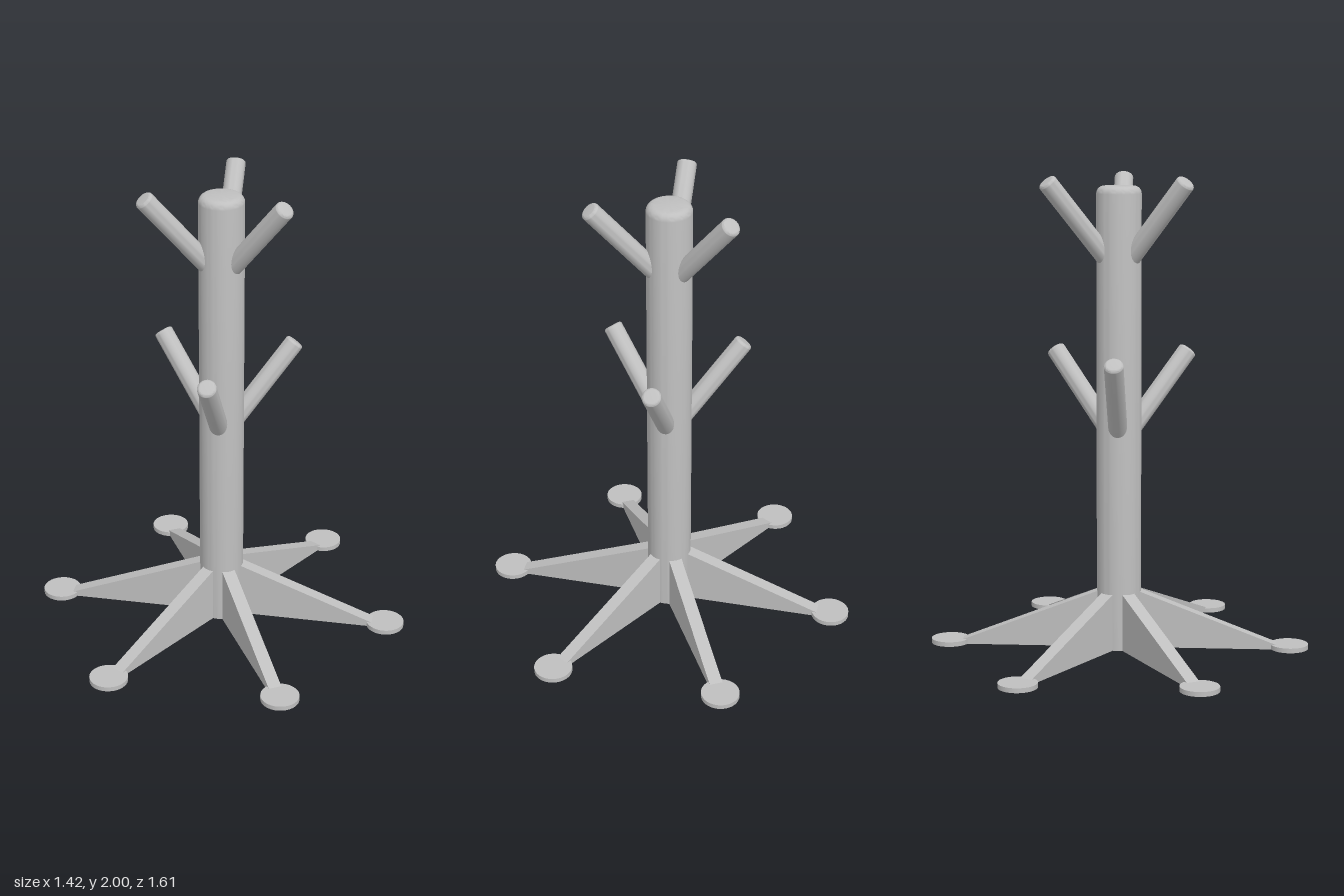
import * as THREE from 'three';
import { toCreasedNormals } from 'three/addons/utils/BufferGeometryUtils.js';

const grey = new THREE.MeshStandardMaterial({ color: 0xbfbfbf });
grey.name = 'grey';

// Upright round bar with a flat base and a softly rounded top edge
function roundedBar(radius, height, bevel, sides) {
  const points = [new THREE.Vector2(0, 0), new THREE.Vector2(radius, 0)];
  for (let i = 0; i <= 6; i++) {
    const a = (i / 6) * Math.PI / 2;
    points.push(new THREE.Vector2(
      radius - bevel + bevel * Math.cos(a),
      height - bevel + bevel * Math.sin(a)));
  }
  points.push(new THREE.Vector2(0, height));
  return toCreasedNormals(new THREE.LatheGeometry(points, sides), 0.6);
}

// Tapering fin, lying along +x with its underside on the floor
function finGeometry() {
  const width = 0.056;
  const shape = new THREE.Shape();
  shape.moveTo(0, 0);
  shape.lineTo(0.69, 0);
  shape.lineTo(0.69, 0.012);
  shape.lineTo(0.085, 0.245);
  shape.lineTo(0, 0.245);
  shape.closePath();
  return new THREE.ExtrudeGeometry(shape, { depth: width, bevelEnabled: false })
    .translate(0, 0, -width / 2);
}

export function createModel() {
  const model = new THREE.Group();
  model.name = 'coatStand';

  function add(name, geometry, parent = model) {
    const mesh = new THREE.Mesh(geometry, grey);
    mesh.name = name;
    parent.add(mesh);
    return mesh;
  }

  add('pole', roundedBar(0.094, 1.955, 0.032, 64));

  // Six fins, each ending in a round floor pad
  const fin = finGeometry();
  const pad = new THREE.CylinderGeometry(0.081, 0.081, 0.02, 48);
  for (let i = 0; i < 6; i++) {
    const leg = new THREE.Group();
    leg.name = 'leg' + (i + 1);
    leg.rotation.y = Math.PI / 6 + i * Math.PI / 3;
    add('fin', fin, leg);
    add('floorPad', pad, leg).position.set(0.725, 0.01, 0);
    model.add(leg);
  }

  // Six pegs slanting outward, alternating between the two tiers
  const slope = THREE.MathUtils.degToRad(50);
  const reach = 0.328;
  const peg = roundedBar(0.04, reach / Math.cos(slope), 0.012, 32);
  for (let i = 0; i < 6; i++) {
    const upper = i % 2 === 1;
    const arm = new THREE.Group();
    arm.name = (upper ? 'upperPeg' : 'lowerPeg') + (Math.floor(i / 2) + 1);
    arm.rotation.y = i * Math.PI / 3;
    arm.position.y = (upper ? 1.98 : 1.257) - reach * Math.tan(slope);
    add('peg', peg, arm).rotation.z = slope - Math.PI / 2;
    model.add(arm);
  }
  return model;
}
